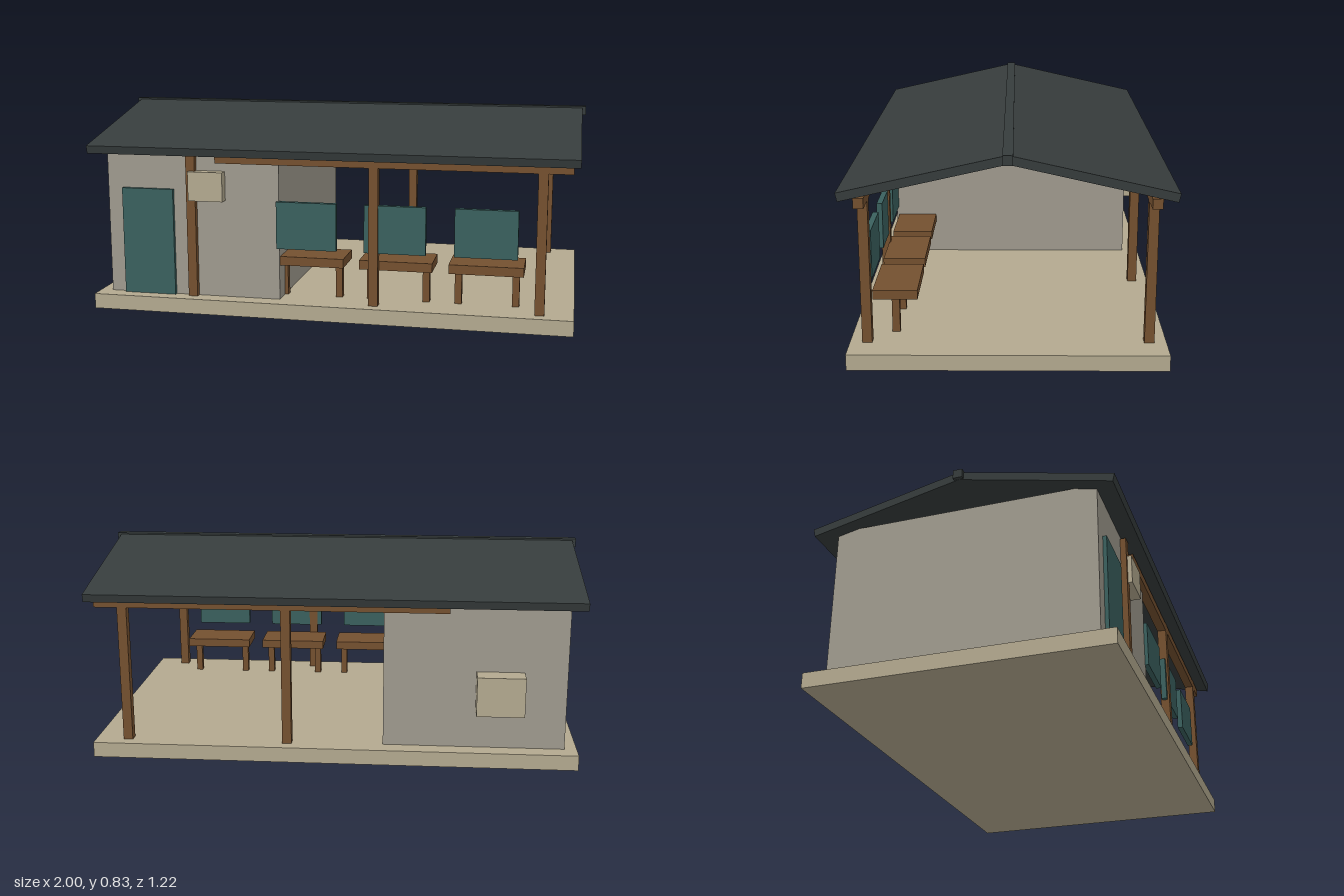
import * as THREE from 'three';

const mat = (color) => new THREE.MeshStandardMaterial({ color });

export function createModel() {
  const model = new THREE.Group();
  const stone = mat(0xb3a98f), plaster = mat(0x9f9a8e), wood = mat(0x74502f);
  const slate = mat(0x363c3c), teal = mat(0x3a605e);

  // box given by its min and max along each axis
  const box = (name, material, [x0, x1], [y0, y1], [z0, z1], parent = model) => {
    const mesh = new THREE.Mesh(new THREE.BoxGeometry(x1 - x0, y1 - y0, z1 - z0), material);
    mesh.position.set((x0 + x1) / 2, (y0 + y1) / 2, (z0 + z1) / 2);
    mesh.name = name;
    parent.add(mesh);
    return mesh;
  };
  const around = (c, w) => [c - w / 2, c + w / 2];
  const floorY = 0.062;

  // base and enclosed room
  box('floorSlab', stone, [-0.98, 0.98], [0, floorY], [-0.6, 0.6]);
  box('roomWalls', plaster, [-0.93, -0.2], [floorY, 0.69], [-0.53, 0.53]);
  box('door', teal, [-0.865, -0.645], [floorY, 0.505], [0.525, 0.545]);
  box('wallSign', stone, [-0.57, -0.425], [0.465, 0.585], [0.525, 0.57]);
  box('rearUnit', stone, [-0.76, -0.57], [0.22, 0.38], [-0.612, -0.525]);

  // posts and eave beams, front and back
  for (const side of [1, -1]) {
    const z = around(side * 0.534, 0.038);
    const posts = side > 0 ? [-0.565, 0.19, 0.847] : [0.19, 0.847];
    for (const x of posts) box('post', wood, around(x, 0.038), [floorY, 0.66], z);
    box('eaveBeam', wood, [-0.46, 0.96], [0.62, 0.658], z);
  }

  // benches with a panel in front of each
  for (const x of [-0.085, 0.275, 0.635]) {
    const bench = new THREE.Group();
    bench.name = 'bench';
    box('benchTop', wood, around(x, 0.295), [0.203, 0.24], [0.348, 0.52], bench);
    for (const s of [-1, 1])
      box('benchLeg', wood, around(x + s * 0.115, 0.028), [floorY, 0.203], around(0.434, 0.03), bench);
    model.add(bench);
    box('displayPanel', teal, around(x, 0.247), [0.277, 0.47], [0.522, 0.545]);
  }

  // two roof slopes and the ridge cap
  for (const side of [1, -1]) {
    const slope = new THREE.Mesh(new THREE.BoxGeometry(1.97, 0.033, 0.62), slate);
    slope.position.set(0, 0.7376, side * 0.305);
    slope.rotation.x = side * 0.223;
    slope.name = 'roofSlope';
    model.add(slope);
  }
  box('ridgeCap', slate, [-1, 1], [0.79, 0.826], [-0.019, 0.019]);

  return model;
}
